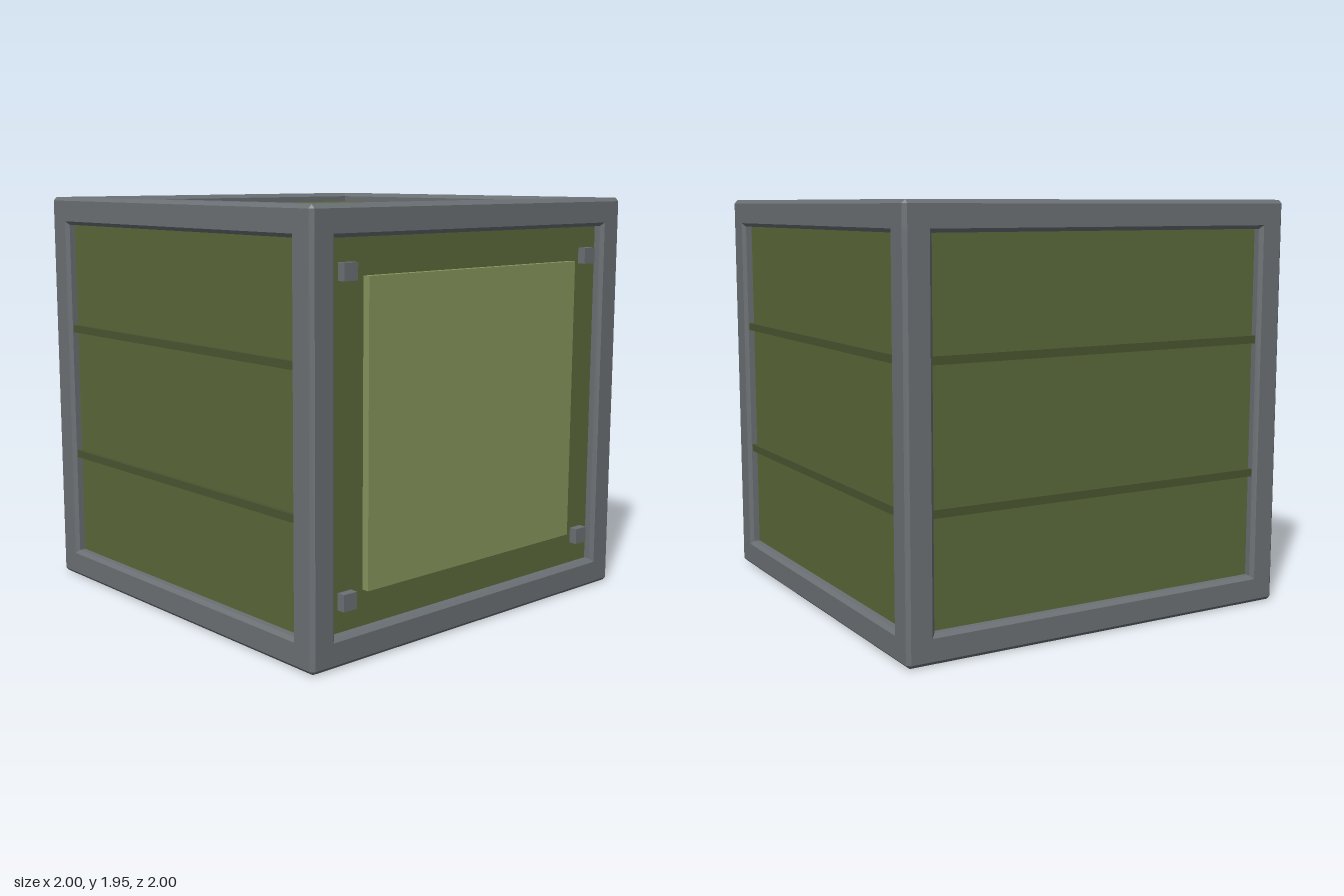
import * as THREE from 'three';
import { ConvexGeometry } from 'three/addons/geometries/ConvexGeometry.js';

const H = 1.945;          // overall height
const MID = H / 2;
const BEAM = 0.135;       // frame beam thickness
const CHAMFER = 0.017;
const INSET = 0.047;      // panel recess behind the frame face

const material = (color) => new THREE.MeshStandardMaterial({ color, flatShading: true });

// Box with every edge cut at 45 degrees
function chamferBox(w, h, d, c) {
  const points = [];
  for (const x of [-1, 1]) for (const y of [-1, 1]) for (const z of [-1, 1]) {
    for (let axis = 0; axis < 3; axis++) {
      const cut = [c, c, c];
      cut[axis] = 0;
      points.push(new THREE.Vector3(x * (w / 2 - cut[0]), y * (h / 2 - cut[1]), z * (d / 2 - cut[2])));
    }
  }
  return new ConvexGeometry(points);
}

export function createModel() {
  const group = new THREE.Group();
  const frameMat = material(0x6b7074);
  const panelMat = material(0x5a6839);
  const ribMat = material(0x4a5530);
  const plateMat = material(0x87955c);

  const add = (parent, name, geometry, mat, x, y, z) => {
    const mesh = new THREE.Mesh(geometry, mat);
    mesh.name = name;
    mesh.position.set(x, y, z);
    parent.add(mesh);
    return mesh;
  };

  // Inner box whose faces are the recessed panels
  const bodySize = 2 - 2 * INSET;
  add(group, 'panelBox', new THREE.BoxGeometry(bodySize, H - 2 * INSET, bodySize), panelMat, 0, MID, 0);

  // Twelve chamfered beams along the edges
  const frame = new THREE.Group();
  frame.name = 'frame';
  group.add(frame);
  const beamX = chamferBox(2, BEAM, BEAM, CHAMFER);
  const beamY = chamferBox(BEAM, H, BEAM, CHAMFER);
  const beamZ = chamferBox(BEAM, BEAM, 2, CHAMFER);
  const off = 1 - BEAM / 2;
  const offY = MID - BEAM / 2;
  for (const a of [-1, 1]) for (const b of [-1, 1]) {
    add(frame, 'crossBeam', beamX, frameMat, 0, MID + a * offY, b * off);
    add(frame, 'cornerPost', beamY, frameMat, a * off, MID, b * off);
    add(frame, 'sideBeam', beamZ, frameMat, a * off, MID + b * offY, 0);
  }

  // Two ribs on the left, back and right panels
  const face = 1 - INSET;
  const ribGeo = new THREE.BoxGeometry(2 - 2 * BEAM, 0.037, 0.05);
  for (const [side, angle] of [['left', Math.PI / 2], ['back', Math.PI], ['right', -Math.PI / 2]]) {
    const ribs = new THREE.Group();
    ribs.name = side + 'Ribs';
    ribs.rotation.y = angle;
    for (const y of [0.645, 1.289]) add(ribs, 'rib', ribGeo, ribMat, 0, y, face);
    group.add(ribs);
  }

  // Raised front plate with a bolt near each corner
  add(group, 'frontPlate', new THREE.BoxGeometry(1.35, 1.35, 0.07), plateMat, 0, MID, face);
  const boltGeo = new THREE.BoxGeometry(0.076, 0.076, 0.08);
  for (const x of [-0.78, 0.78]) for (const y of [-0.698, 0.698]) {
    add(group, 'bolt', boltGeo, frameMat, x, MID + y, face);
  }

  return group;
}
